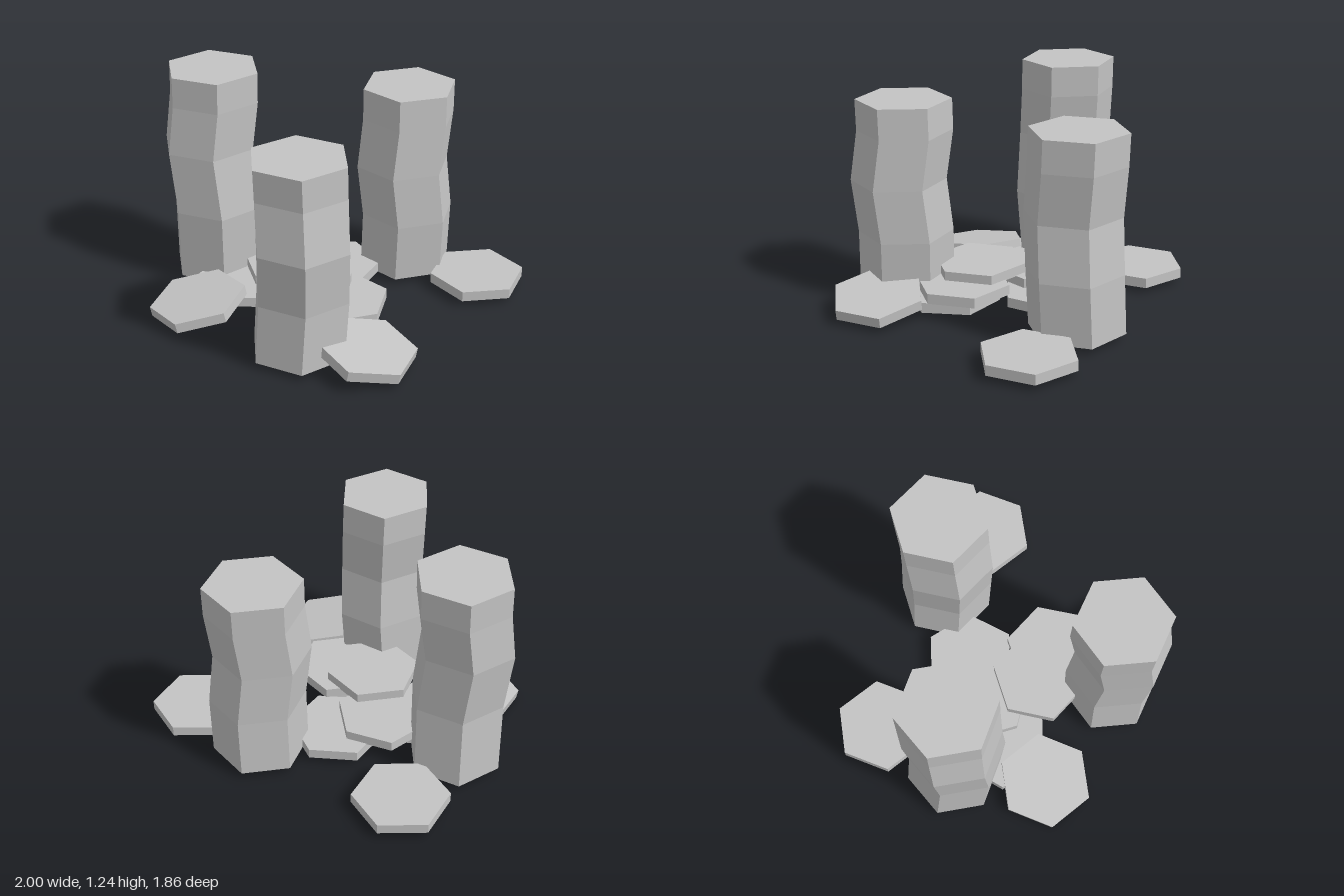
import * as THREE from 'three';

const RADIUS = 0.264;
const BASE = 0.037;
const THICK = 0.057;

export function createModel() {
  const model = new THREE.Group();
  const stone = new THREE.MeshStandardMaterial({ color: 0xc4c4c4, flatShading: true });
  stone.name = 'light grey stone';

  // Hexagonal pillar; levels are [y, x shift, z shift] from bottom to top
  function addPillar(name, x, z, degrees, levels) {
    const n = levels.length - 1;
    const geo = new THREE.CylinderGeometry(RADIUS, RADIUS, n, 6, n, false, THREE.MathUtils.degToRad(degrees));
    const pos = geo.attributes.position;
    for (let i = 0; i < pos.count; i++) {
      const [y, dx, dz] = levels[Math.round(pos.getY(i) + n / 2)];
      pos.setXYZ(i, pos.getX(i) + dx, y, pos.getZ(i) + dz);
    }
    geo.computeVertexNormals();
    const mesh = new THREE.Mesh(geo, stone);
    mesh.name = name;
    mesh.position.set(x, 0, z);
    model.add(mesh);
  }

  // Hexagonal slab placed by the centre of its top; slopeX and slopeZ tilt it
  function addSlab(name, x, top, z, degrees, slopeX = 0, slopeZ = 0) {
    const geo = new THREE.CylinderGeometry(RADIUS, RADIUS, THICK, 6, 1, false, THREE.MathUtils.degToRad(degrees));
    geo.translate(0, -THICK / 2, 0);
    const mesh = new THREE.Mesh(geo, stone);
    mesh.name = name;
    mesh.position.set(x, top, z);
    const normal = new THREE.Vector3(-slopeX, 1, -slopeZ).normalize();
    mesh.quaternion.setFromUnitVectors(new THREE.Vector3(0, 1, 0), normal);
    model.add(mesh);
  }

  // Three wavy pillars
  addPillar('tallPillar', -0.583, 0.303, 0,
    [[BASE, 0, 0], [0.45, 0.025, 0.018], [0.8, -0.012, 0.035], [1.07, 0, 0.003], [1.24, 0, 0]]);
  addPillar('frontPillar', 0.418, 0.495, -4.8,
    [[BASE, 0, 0.01], [0.37, 0.01, -0.008], [0.67, 0.037, 0.012], [0.95, 0, -0.006], [1.124, 0, 0]]);
  addPillar('backPillar', 0.06, -0.553, -23,
    [[BASE, -0.003, 0], [0.37, 0.014, 0.004], [0.67, 0, 0.037], [0.95, 0.004, 0.004], [1.124, 0, 0]]);

  // Slabs lying flat on the ground
  const ground = BASE + THICK;
  addSlab('outerSlabRight', -0.737, ground, -0.155, 28.5);
  addSlab('outerSlabBack', 0.498, ground, -0.705, 28.5);

  // Central pile: three slabs, then two, then one
  addSlab('pileBaseBack', -0.088, ground, -0.145, 22.2);
  addSlab('pileBaseLeft', 0.33, ground, 0.185, 45);
  addSlab('pileBaseRight', -0.275, ground, 0.365, 20);
  addSlab('pileMiddleRight', -0.19, 0.147, 0.095, 6.5);
  addSlab('pileMiddleLeft', 0.3, 0.148, 0.13, 38);
  addSlab('pileTop', 0.115, 0.2, 0.225, 37.5);

  // Tilted slabs leaning at the edge
  addSlab('tiltedSlabLeft', 0.738, 0.13, 0.31, 28.5, -0.15, 0.09);
  addSlab('tiltedSlabFront', -0.237, 0.109, 0.695, 28.5, 0.085, -0.17);

  return model;
}
